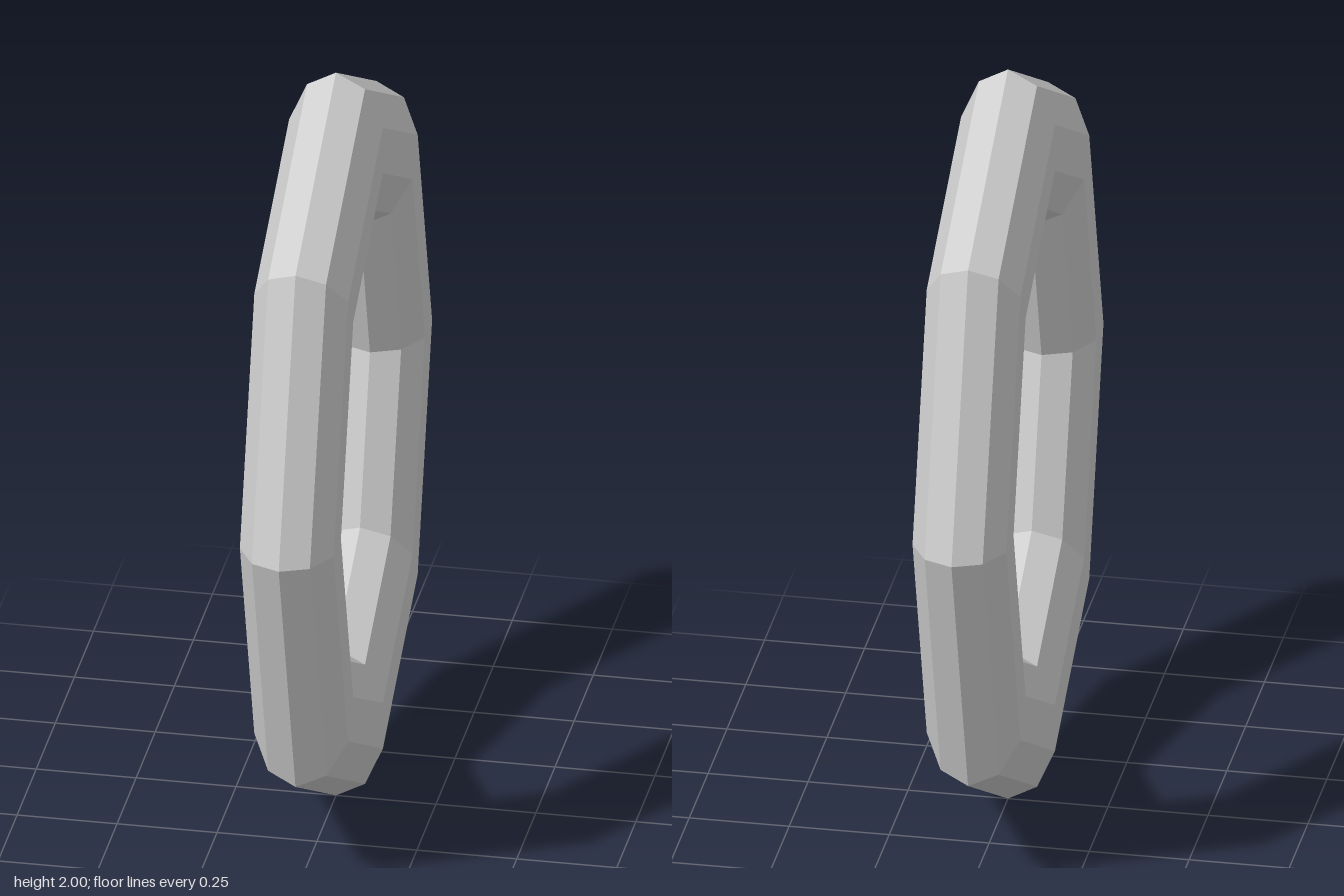
import * as THREE from 'three';

export function createModel() {
  const group = new THREE.Group();

  // Faceted oval ring: eight straight segments with a ten-sided section
  const geometry = new THREE.TorusGeometry(0.796, 0.204, 10, 8);
  geometry.rotateY(Math.PI / 2);       // hole runs along x
  geometry.scale(0.605, 1, 0.75);      // thin in x, taller than deep
  geometry.translate(0, 1, 0);
  geometry.computeVertexNormals();

  const material = new THREE.MeshStandardMaterial({ color: 0xcccccc, flatShading: true });
  const ring = new THREE.Mesh(geometry, material);
  ring.name = 'ovalRing';
  group.add(ring);
  return group;
}
